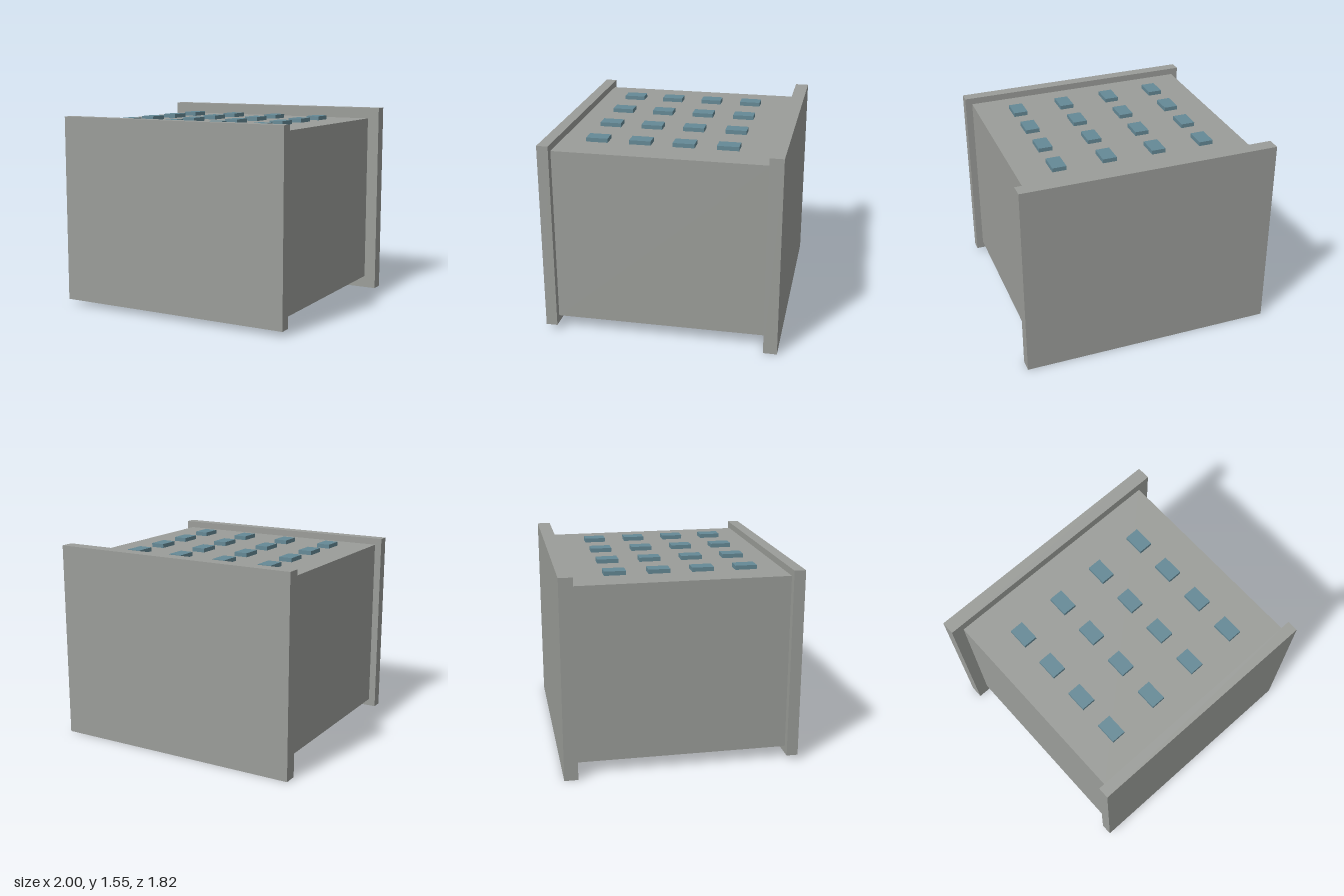
import * as THREE from 'three';

export function createModel() {
  const model = new THREE.Group();
  model.name = 'cabinet';

  const grey = new THREE.MeshStandardMaterial({ color: 0x9b9d99 });
  grey.name = 'panel grey';
  const blue = new THREE.MeshStandardMaterial({ color: 0x658996 });
  blue.name = 'pad blue';

  // Box given by its minimum and maximum corner
  function box(name, material, [x0, y0, z0], [x1, y1, z1], parent = model) {
    const mesh = new THREE.Mesh(new THREE.BoxGeometry(x1 - x0, y1 - y0, z1 - z0), material);
    mesh.position.set((x0 + x1) / 2, (y0 + y1) / 2, (z0 + z1) / 2);
    mesh.name = name;
    parent.add(mesh);
  }

  // Main block between two end plates
  box('body', grey, [-0.905, 0.097, -0.803], [0.905, 1.46, 0.82]);
  box('frontPlate', grey, [-0.96, 0.04, 0.82], [0.96, 1.512, 0.908]);
  box('backPlate', grey, [-1, 0, -0.908], [1, 1.548, -0.803]);

  // Runners underneath
  for (const x of [-0.583, 0.577]) {
    box('runner', grey, [x - 0.022, 0.01, -0.415], [x + 0.022, 0.097, 0.565]);
  }

  // Four by four pads on the top and on the underside
  const pads = { topPads: [1.46, 1.492], bottomPads: [0.057, 0.097] };
  for (const [name, [low, high]] of Object.entries(pads)) {
    const group = new THREE.Group();
    group.name = name;
    model.add(group);
    for (let i = 0; i < 4; i++) {
      for (let j = 0; j < 4; j++) {
        const x = -0.596 + i * 0.394;
        const z = -0.457 + j * 0.333;
        box('pad', blue, [x - 0.055, low, z - 0.083], [x + 0.055, high, z + 0.083], group);
      }
    }
  }

  // Wide block under the rear edge
  box('rearBlock', blue, [-0.14, 0.048, -0.803], [0.14, 0.097, -0.515]);

  return model;
}
